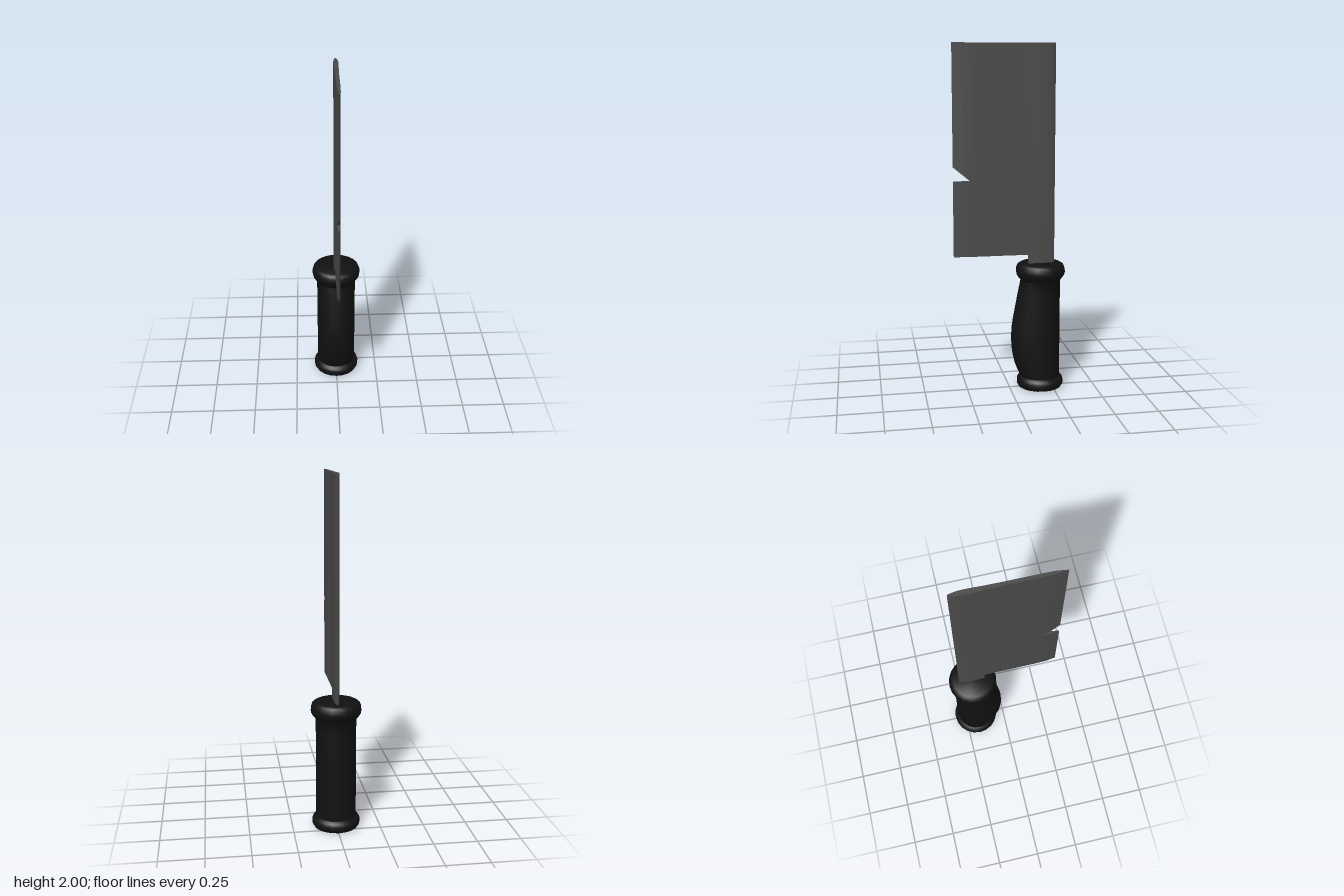
import * as THREE from 'three';
import { mergeVertices, toCreasedNormals } from 'three/addons/utils/BufferGeometryUtils.js';

const AXIS_Z = -0.182; // centre line of the handle

// piecewise-linear lookup in [[t, value], ...]
function lookup(table, t) {
  if (t <= table[0][0]) return table[0][1];
  for (let i = 1; i < table.length; i++) {
    const [t0, v0] = table[i - 1], [t1, v1] = table[i];
    if (t <= t1) return v0 + (v1 - v0) * (t - t0) / (t1 - t0);
  }
  return table[table.length - 1][1];
}

// half thickness of the blade from rounded spine to sharp edge
const THICKNESS = [[-0.263, 0.001], [-0.255, 0.006], [-0.24, 0.0095], [-0.215, 0.013], [-0.18, 0.0145],
  [-0.145, 0.0135], [-0.11, 0.0122], [-0.02, 0.0105], [0.1, 0.01], [0.2, 0.01], [0.225, 0.0095],
  [0.262, 0.0085], [0.322, 0]];

// closed slab of blade between two z positions, with lower and upper outline
function slab(z0, z1, low, high) {
  const zs = THICKNESS.map(s => s[0]).filter(z => z >= z0 - 1e-6 && z <= z1 + 1e-6);
  const rings = zs.map(z => {
    const w = lookup(THICKNESS, z), a = low(z), b = high(z);
    return [[-w, a, z], [w, a, z], [w, b, z], [-w, b, z]];
  });
  const pos = [];
  const quad = (a, b, c, d) => pos.push(...a, ...b, ...c, ...a, ...c, ...d);
  for (let i = 0; i < rings.length - 1; i++) {
    const p = rings[i], q = rings[i + 1];
    for (let k = 0; k < 4; k++) quad(p[k], p[(k + 1) % 4], q[(k + 1) % 4], q[k]);
  }
  const f = rings[0], e = rings[rings.length - 1];
  quad(f[3], f[2], f[1], f[0]);
  quad(e[0], e[1], e[2], e[3]);
  const g = new THREE.BufferGeometry();
  g.setAttribute('position', new THREE.Float32BufferAttribute(pos, 3));
  return toCreasedNormals(g, 0.5);
}

// turned handle with end collars, swelling towards the front
function handleGeometry() {
  const bulge = [[0.07, 0], [0.1, 0.016], [0.15, 0.036], [0.2, 0.048], [0.25, 0.055], [0.3, 0.057],
    [0.36, 0.054], [0.42, 0.045], [0.5, 0.03], [0.58, 0.015], [0.65, 0]];
  const profile = [[0, 0], [0.11, 0], [0.127, 0.006], [0.136, 0.022], [0.137, 0.042], [0.131, 0.058],
    ...bulge.map(b => [0.115, b[0]]),
    [0.13, 0.668], [0.14, 0.685], [0.143, 0.702], [0.141, 0.722], [0.133, 0.74], [0.118, 0.749], [0, 0.749]];
  let g = new THREE.LatheGeometry(profile.map(p => new THREE.Vector2(...p)), 20);
  g.deleteAttribute('normal');
  g.deleteAttribute('uv');
  const p = g.attributes.position;
  for (let i = 0; i < p.count; i++) {
    const x = p.getX(i), y = p.getY(i), z = p.getZ(i);
    const angle = Math.abs(Math.atan2(x, z)) * 180 / Math.PI;
    const share = lookup([[36, 1], [54, 0.5], [72, 0.05], [90, 0]], angle);
    p.setZ(i, z + AXIS_Z + lookup(bulge, y) * share);
  }
  return toCreasedNormals(mergeVertices(g), 0.75);
}

export function createModel() {
  const model = new THREE.Group();
  const steel = new THREE.MeshStandardMaterial({ color: 0x4a4a4a });
  const grip = new THREE.MeshStandardMaterial({ color: 0x111111 });
  const add = (parent, name, geometry, material) => {
    const mesh = new THREE.Mesh(geometry, material);
    mesh.name = name;
    parent.add(mesh);
  };

  // blade, split around the tang and the notch in the cutting edge
  const blade = new THREE.Group();
  blade.name = 'blade';
  const level = y => () => y;
  const notchTop = z => 1.235 + 0.08 * (z - 0.225) / 0.097;
  add(blade, 'spineAndTang', slab(-0.263, -0.11, level(0.7), level(2)), steel);
  add(blade, 'bladeBody', slab(-0.11, 0.225, level(0.8), level(2)), steel);
  add(blade, 'edgeBelowNotch', slab(0.225, 0.322, level(0.8), level(1.235)), steel);
  add(blade, 'edgeAboveNotch', slab(0.225, 0.322, notchTop, level(2)), steel);
  model.add(blade);

  add(model, 'handle', handleGeometry(), grip);
  return model;
}
